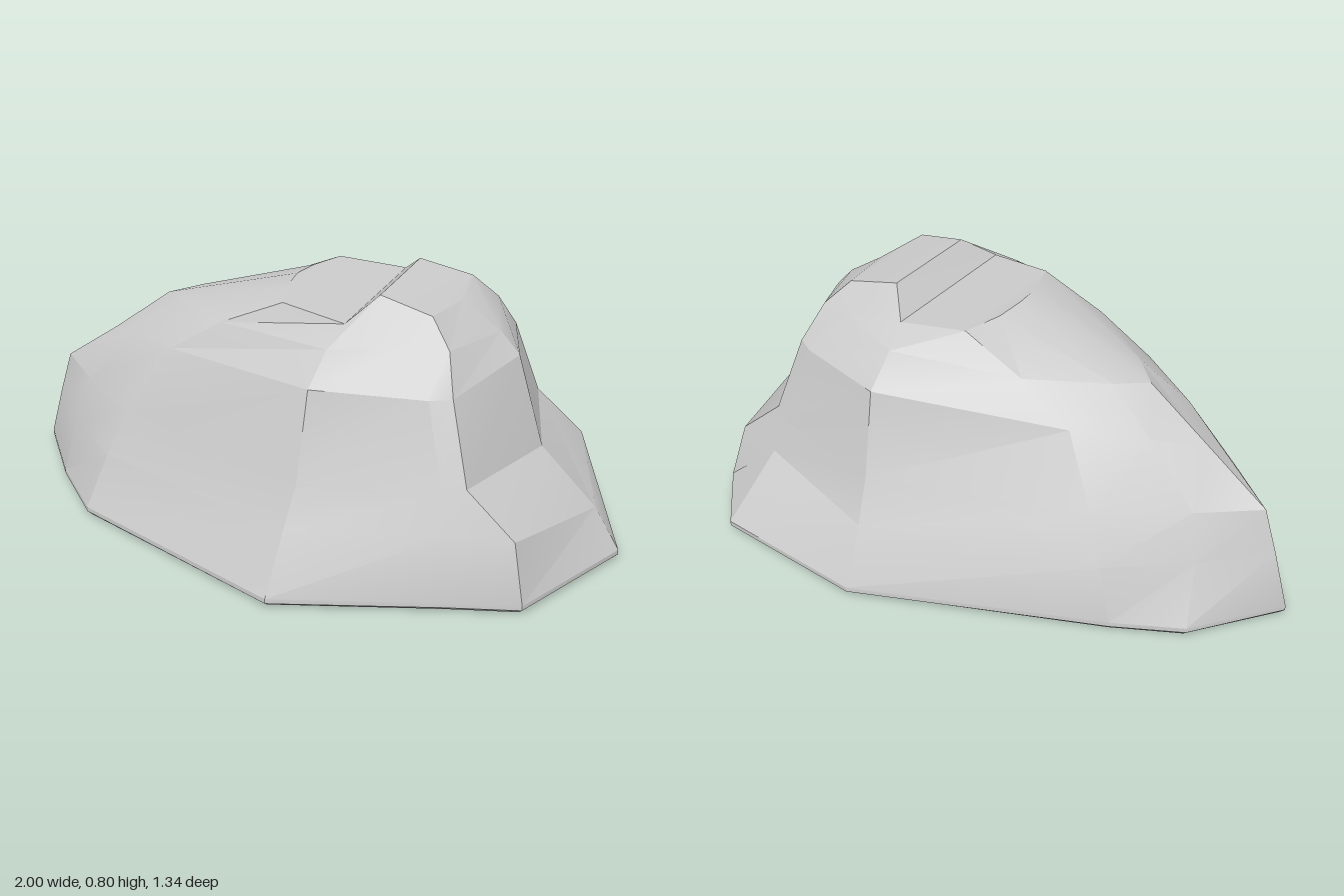
import * as THREE from 'three';
import { toCreasedNormals } from 'three/addons/utils/BufferGeometryUtils.js';

// Rings from the ground up; each runs along the front half from the tail (-x) to the nose (+x)
const base = [[-1, 0.03, -0.02], [-0.8, 0.03, 0.22], [-0.6, 0.03, 0.41], [0.14, 0.03, 0.665], [0.62, 0.03, 0.48], [0.82, 0.03, 0.41], [1, 0.03, 0]];
const baseBack = [[0.82, 0.03, -0.42], [0.65, 0.03, -0.62], [0.14, 0.03, -0.67], [-0.6, 0.03, -0.37], [-0.8, 0.03, -0.27]];
const lower = [[-0.945, 0.2, -0.01], [-0.77, 0.2, 0.18], [-0.55, 0.2, 0.35], [0.155, 0.2, 0.575], [0.6, 0.22, 0.44], [0.78, 0.21, 0.38], [0.92, 0.16, 0]];
const middle = [[-0.9, 0.34, -0.01], [-0.73, 0.34, 0.14], [-0.49, 0.34, 0.31], [0.17, 0.33, 0.51], [0.57, 0.33, 0.41], [0.63, 0.34, 0.37], [0.745, 0.33, 0]];
const shoulder = [[-0.7, 0.48, 0], [-0.57, 0.525, 0.12], [-0.37, 0.55, 0.24], [0.18, 0.6, 0.45], [0.5, 0.58, 0.345], [0.56, 0.58, 0.31], [0.66, 0.61, 0]];
const upper = [[-0.5, 0.63, 0], [-0.42, 0.64, 0.08], [-0.2, 0.66, 0.23], [0.19, 0.68, 0.34], [0.4, 0.7, 0.265], [0.52, 0.69, 0.235], [0.6, 0.675, 0]];
const crown = [[-0.05, 0.76, 0], [-0.04, 0.755, 0.1], [0, 0.75, 0.22], [0.21, 0.73, 0.255], [0.285, 0.8, 0.17], [0.45, 0.765, 0.185], [0.48, 0.755, 0]];

// Close a half ring by mirroring it to the back
const mirrored = (half) => [...half, ...half.slice(1, -1).reverse().map(([x, y, z]) => [x, y, -z])];

function createRockGeometry() {
  const rim = [...base, ...baseBack];
  const foot = rim.map(([x, , z]) => [x * 0.985, 0, z * 0.97]);
  const lip = rim.map(([x, , z]) => [x, 0.015, z]);
  const rings = [foot, lip, rim, ...[lower, middle, shoulder, upper, crown].map(mirrored)];
  const n = rim.length;
  const index = [];
  const tri = (a, b, c) => { if (a !== b && b !== c && a !== c) index.push(a, b, c); };

  // Sides
  for (let r = 0; r < rings.length - 1; r++) {
    for (let i = 0; i < n; i++) {
      const a = r * n + i, b = r * n + (i + 1) % n;
      tri(a, b, b + n);
      tri(a, b + n, a + n);
    }
  }
  // Crown and underside, as strips running from front to back
  const top = (rings.length - 1) * n;
  for (let i = 0; i < n / 2; i++) {
    const a = i, b = i + 1, c = n - i - 1, d = (n - i) % n;
    tri(top + a, top + b, top + c);
    tri(top + a, top + c, top + d);
    tri(c, b, a);
    tri(d, c, a);
  }

  const geometry = new THREE.BufferGeometry();
  geometry.setAttribute('position', new THREE.Float32BufferAttribute(rings.flat(2), 3));
  geometry.setIndex(index);
  return toCreasedNormals(geometry, 0.35);
}

export function createModel() {
  const group = new THREE.Group();
  group.name = 'boulder';
  const rock = new THREE.Mesh(createRockGeometry(), new THREE.MeshStandardMaterial({ color: 0xcccccc }));
  rock.name = 'rock';
  group.add(rock);
  return group;
}
